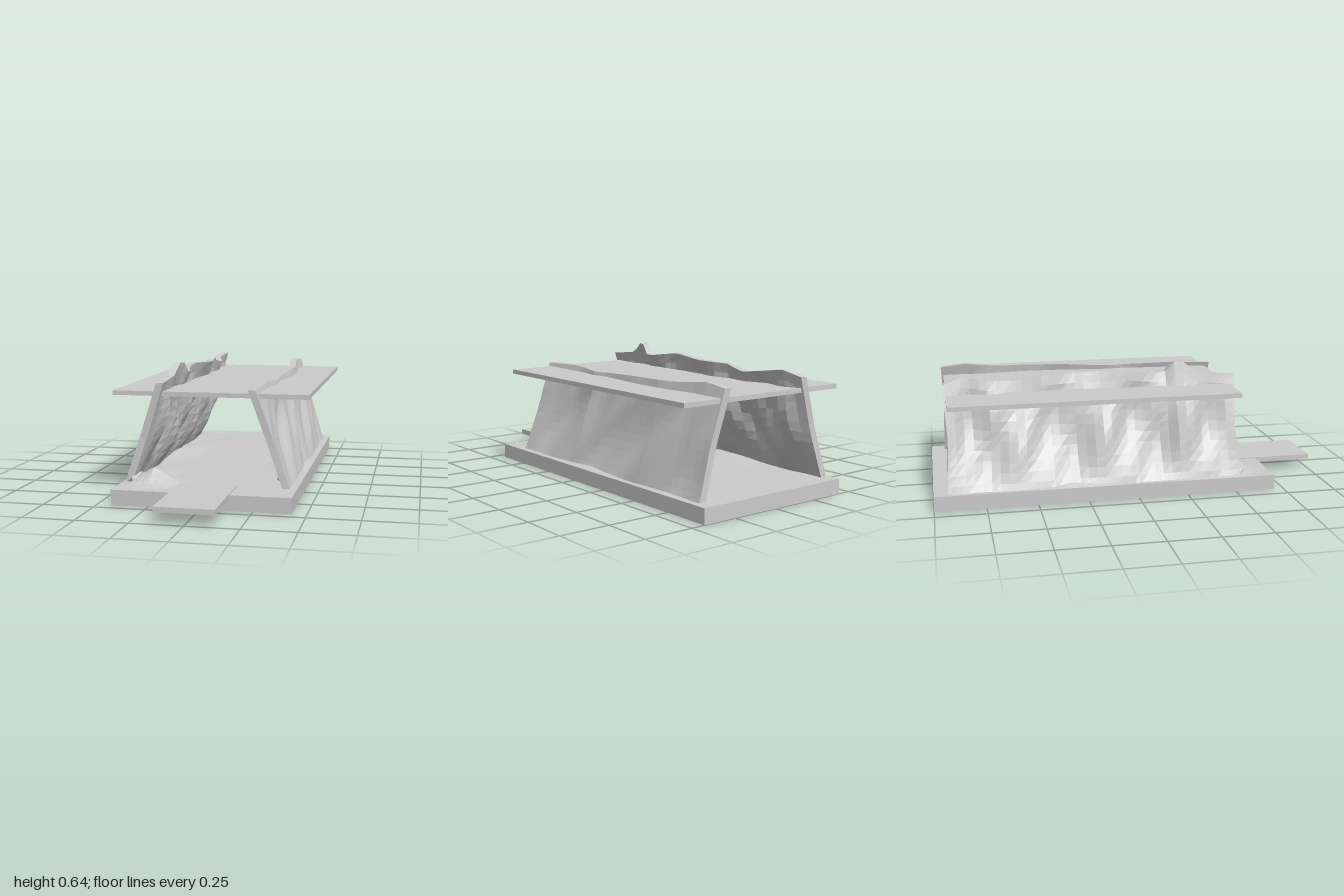
import * as THREE from 'three';

const material = new THREE.MeshStandardMaterial({ color: 0xcccccc, flatShading: true, side: THREE.DoubleSide });

// Linear interpolation through [position, value] pairs
function sample(pairs, t) {
  if (t <= pairs[0][0]) return pairs[0][1];
  for (let i = 1; i < pairs.length; i++) {
    const [a, va] = pairs[i - 1], [b, vb] = pairs[i];
    if (t <= b) return va + (vb - va) * (t - a) / (b - a);
  }
  return pairs[pairs.length - 1][1];
}

function addMesh(group, name, geometry) {
  const mesh = new THREE.Mesh(geometry, material);
  mesh.name = name;
  group.add(mesh);
}

// Box between two corners, optionally with its vertices moved by a rule
function block(x0, x1, y0, y1, z0, z1, segments = [1, 1, 1], rule) {
  const g = new THREE.BoxGeometry(x1 - x0, y1 - y0, z1 - z0, ...segments);
  g.translate((x0 + x1) / 2, (y0 + y1) / 2, (z0 + z1) / 2);
  if (rule) {
    const p = g.attributes.position, v = new THREE.Vector3();
    for (let i = 0; i < p.count; i++) {
      rule(v.fromBufferAttribute(p, i));
      p.setXYZ(i, v.x, v.y, v.z);
    }
    g.computeVertexNormals();
  }
  return g;
}

const bump = (d, width) => Math.max(0, 1 - Math.abs(d) / width);

// Rough leaning wall: foot and crest lines along z, with a lumpy middle
function wall({ foot, crest, height, lump }) {
  return block(-0.018, 0.018, 0, 1, -0.92, 0.515, [1, 11, 34], (v) => {
    const t = v.y, z = v.z, side = v.x;
    const ends = Math.min(1, (z + 0.92) / 0.15, (0.515 - z) / 0.15);
    const x = foot + (sample(crest, z) - foot) * t;
    const swell = Math.sin(Math.PI * Math.min(1, t * 1.05));
    v.x = x + side + lump(z, t) * swell * ends;
    v.y = 0.06 + (sample(height, z) - 0.06) * t;
    v.z = z + 0.012 * Math.sign(z) * (Math.abs(z) > 0.5 ? Math.abs(t - 0.5) * 2 : 0);
  });
}

export function createModel() {
  const group = new THREE.Group();

  // Ground slab with low mounds beside the walls and a front heap
  addMesh(group, 'base', block(-0.43, 0.43, 0, 0.075, -1, 0.7, [22, 1, 34], (v) => {
    if (v.y < 0.07) return;
    const inside = v.z < 0.66 && v.z > -0.97 && Math.abs(v.x) < 0.42;
    if (!inside) return;
    const ripple = 0.5 + 0.5 * Math.sin(v.z * 9 + v.x * 5);
    v.y += 0.03 * ripple * bump(v.x + 0.35, 0.14) * bump(v.z + 0.15, 0.8);
    v.y += 0.02 * ripple * bump(v.x - 0.34, 0.14) * bump(v.z + 0.15, 0.8);
    v.y += 0.075 * bump(v.x + 0.27, 0.13) * bump(v.z - 0.5, 0.12);
  }));

  // Entry board at the front
  addMesh(group, 'entryBoard', block(-0.14, 0.14, 0.055, 0.08, 0.5, 1));

  // Flat deck that cuts through the walls
  addMesh(group, 'deck', block(-0.48, 0.48, 0.5, 0.522, -0.92, 0.5));

  // Right wall, the rougher one
  addMesh(group, 'rightWall', wall({
    foot: -0.4,
    crest: [[-0.93, -0.24], [-0.83, -0.2], [-0.72, -0.225], [-0.58, -0.185], [-0.45, -0.21], [-0.3, -0.175],
      [-0.1, -0.21], [0.02, -0.225], [0.17, -0.195], [0.3, -0.225], [0.52, -0.235]],
    height: [[-0.92, 0.575], [-0.83, 0.605], [-0.7, 0.585], [-0.57, 0.57], [-0.47, 0.595], [-0.25, 0.6],
      [-0.05, 0.612], [0.08, 0.595], [0.17, 0.58], [0.24, 0.66], [0.33, 0.585], [0.52, 0.565]],
    lump: (z, t) => 0.025 + 0.035 * Math.sin(z * 15 + t * 2) + 0.015 * Math.sin(z * 31 - t * 7),
  }));

  // Left wall, gently bowed inwards
  addMesh(group, 'leftWall', wall({
    foot: 0.385,
    crest: [[-0.93, 0.24], [-0.72, 0.235], [-0.5, 0.262], [-0.3, 0.255], [-0.05, 0.23], [0.05, 0.245],
      [0.2, 0.22], [0.52, 0.212]],
    height: [[-0.92, 0.565], [-0.8, 0.58], [-0.6, 0.56], [-0.3, 0.555], [0, 0.54], [0.25, 0.55], [0.52, 0.54]],
    lump: (z, t) => -0.012 + 0.014 * Math.sin(z * 10 + t * 5) + 0.008 * Math.sin(z * 27 + t * 11),
  }));

  // Loose clumps at the feet of the walls
  const clumps = new THREE.Group();
  clumps.name = 'clumps';
  [[-0.37, 0.47, 0.05], [0.32, 0.0, 0.04], [0.34, -0.28, 0.045], [0.33, 0.3, 0.035]].forEach(([x, z, r]) => {
    const g = new THREE.IcosahedronGeometry(r, 0);
    g.scale(0.8, 0.9, 2);
    g.translate(x, 0.08, z);
    addMesh(clumps, 'clump', g);
  });
  group.add(clumps);

  return group;
}
